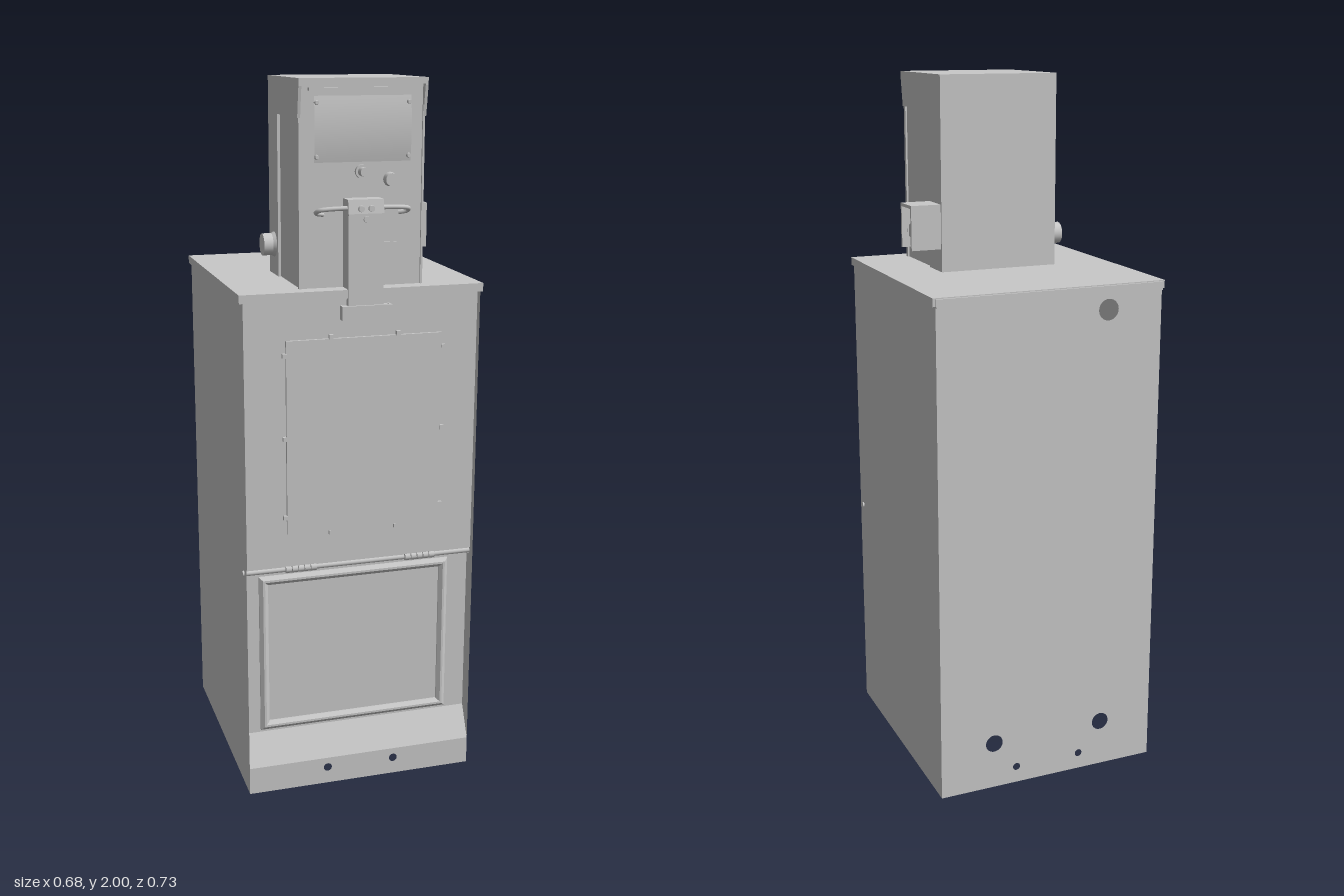
import * as THREE from 'three';

export function createModel() {
  const model = new THREE.Group();
  const GREY = 0xc8c8c8;
  const grey = new THREE.MeshStandardMaterial({ color: GREY });
  grey.name = 'grey metal';
  const sheet = new THREE.MeshStandardMaterial({ color: GREY, side: THREE.DoubleSide });
  sheet.name = 'grey sheet metal';

  const add = (name, geo, mat = grey) => {
    const mesh = new THREE.Mesh(geo, mat);
    mesh.name = name;
    model.add(mesh);
    return mesh;
  };
  // Box given by its lower and upper limits on each axis
  const box = (name, x0, x1, y0, y1, z0, z1) =>
    add(name, new THREE.BoxGeometry(x1 - x0, y1 - y0, z1 - z0)
      .translate((x0 + x1) / 2, (y0 + y1) / 2, (z0 + z1) / 2));
  // Disc or knob pointing along z
  const knob = (name, x, y, z0, z1, r0, r1 = r0, seg = 20) =>
    add(name, new THREE.CylinderGeometry(r1, r0, z1 - z0, seg)
      .rotateX(Math.PI / 2).translate(x, y, (z0 + z1) / 2));
  const rect = (P, x0, x1, y0, y1) =>
    new P([[x0, y0], [x1, y0], [x1, y1], [x0, y1]].map(p => new THREE.Vector2(...p)));
  // Rectangle with round holes [x, y, radius]
  const holedShape = (x0, x1, y0, y1, holes) => {
    const s = rect(THREE.Shape, x0, x1, y0, y1);
    for (const [x, y, r] of holes) s.holes.push(new THREE.Path().absarc(x, y, r, 0, Math.PI * 2, true));
    return s;
  };
  // Side outline of [z, y] points, extruded across x0..x1
  const sideways = (name, pts, x0, x1) =>
    add(name, new THREE.ExtrudeGeometry(new THREE.Shape(pts.map(p => new THREE.Vector2(...p))),
      { depth: x1 - x0, bevelEnabled: false }).rotateY(-Math.PI / 2).translate(x1, 0, 0));

  const W = 0.333, FRONT = 0.346, BACK = -0.36, TOP = 1.435, PANEL = 0.302;

  // Cabinet of sheet metal, open underneath
  for (const s of [-1, 1])
    add('cabinetSide', new THREE.PlaneGeometry(FRONT - BACK, TOP)
      .rotateY(s * Math.PI / 2).translate(s * W, TOP / 2, (FRONT + BACK) / 2), sheet);
  add('cabinetBack', new THREE.ShapeGeometry(holedShape(-W, W, 0, TOP, [
    [-0.17, 1.385, 0.03], [0.17, 1.385, 0.03],
    [-0.17, 0.14, 0.026], [0.17, 0.14, 0.026],
    [-0.1, 0.05, 0.011], [0.1, 0.05, 0.011],
  ]), 16).translate(0, 0, BACK), sheet);
  box('lid', -0.341, 0.341, 1.432, 1.455, BACK, FRONT);
  box('lidBackRim', -W, W, 1.428, 1.452, -0.366, BACK);

  // Kick plate, its slope and the lower panel
  add('kickPlate', new THREE.ShapeGeometry(holedShape(-W, W, 0, 0.08, [
    [-0.1, 0.05, 0.012], [0.1, 0.05, 0.012],
  ]), 16).translate(0, 0, FRONT), sheet);
  const run = FRONT - PANEL, rise = 0.09;
  add('kickSlope', new THREE.PlaneGeometry(2 * W, Math.hypot(run, rise))
    .rotateX(-Math.atan2(run, rise)).translate(0, 0.08 + rise / 2, (FRONT + PANEL) / 2), sheet);
  add('lowerPanel', new THREE.PlaneGeometry(2 * W, 0.515).translate(0, 0.4275, PANEL), sheet);

  // Mitred, bevelled frame on the lower panel
  const frame = rect(THREE.Shape, -0.28, 0.26, 0.19, 0.641);
  frame.holes.push(rect(THREE.Path, -0.274, 0.254, 0.196, 0.635));
  add('cardFrame', new THREE.ExtrudeGeometry(frame, {
    depth: 0.004, bevelEnabled: true, bevelThickness: 0.008, bevelSize: 0.01, bevelSegments: 1,
  }).translate(0, 0, PANEL + 0.004));

  // Upper door with its window plate and clips
  box('door', -0.329, 0.329, 0.685, 1.432, 0.316, 0.336);
  const wx0 = -0.215, wx1 = 0.225, wy0 = 0.782, wy1 = 1.325;
  const clip = (x, y) => box('windowClip', x - 0.006, x + 0.006, y - 0.006, y + 0.006, 0.336, 0.3455);
  box('windowPlate', wx0, wx1, wy0, wy1, 0.336, 0.344);
  for (const y of [0.83, 1.055, 1.285]) for (const x of [wx0 - 0.004, wx1 + 0.004]) clip(x, y);
  for (const x of [-0.09, 0.1]) for (const y of [wy0 - 0.005, wy1 + 0.005]) clip(x, y);

  // Hinge: rod with two groups of knuckles
  box('hingeRail', -W, W, 0.662, 0.685, PANEL, 0.32);
  add('hingeRod', new THREE.CylinderGeometry(0.008, 0.008, 0.676, 12).rotateZ(Math.PI / 2).translate(0, 0.67, 0.316));
  for (const c of [-0.172, 0.178])
    for (let i = -2; i <= 2; i++)
      add('hingeKnuckle', new THREE.CylinderGeometry(0.011, 0.011, 0.016, 12)
        .rotateZ(Math.PI / 2).translate(c + i * 0.018, 0.672, 0.322));

  // Coin head: inner body inside a hood of back, top and two cheeks
  const HX0 = -0.17, HX1 = 0.182;
  box('headBody', HX0 + 0.008, HX1 - 0.008, 1.455, 1.985, 0, 0.298);
  box('hoodBack', HX0, HX1, 1.455, 2, -0.01, 0.01);
  box('hoodTop', HX0, HX1, 1.984, 2, -0.01, 0.317);
  for (const x of [HX0, HX1 - 0.008])
    sideways('hoodCheek', [[-0.01, 1.455], [0.09, 1.455], [0.09, 1.9], [0.303, 1.9],
      [0.317, 1.98], [0.317, 2], [-0.01, 2]], x, x + 0.008);
  for (const x of [HX0 + 0.003, HX1 - 0.009]) box('headFrontEdge', x, x + 0.006, 1.455, 1.93, 0.29, 0.303);

  // Bowed instruction plate with rivets
  const plate = new THREE.PlaneGeometry(0.265, 0.17, 1, 10);
  const pos = plate.attributes.position;
  for (let i = 0; i < pos.count; i++) pos.setZ(i, 0.008 * (1 - (pos.getY(i) / 0.085) ** 2));
  plate.computeVertexNormals();
  add('instructionPlate', plate.translate(0.008, 1.87, 0.3), sheet);
  for (const x of [-0.118, 0.134])
    for (const y of [1.8, 1.938]) knob('plateRivet', x, y, 0.3, 0.309, 0.007, 0.005, 12);
  box('plateTopBead', -0.14, 0.155, 1.968, 1.976, 0.298, 0.308);

  // Coin slot, return button and small square cover
  knob('coinKnobBase', 0.005, 1.76, 0.298, 0.308, 0.018);
  knob('coinKnob', 0.005, 1.76, 0.308, 0.332, 0.012);
  knob('returnButton', 0.085, 1.738, 0.298, 0.318, 0.019, 0.017);
  box('squareCover', 0.06, 0.105, 1.53, 1.572, 0.298, 0.304);

  // Loop handle, tilted up towards the front
  const loop = new THREE.CatmullRomCurve3([
    [-0.1, 0.298], [-0.122, 0.308], [-0.118, 0.326], [-0.09, 0.334],
    [0.1, 0.334], [0.128, 0.326], [0.132, 0.308], [0.11, 0.298],
  ].map(([x, z]) => new THREE.Vector3(x, 1.65 + (z - 0.298) * 0.5, z)), false, 'centripetal');
  add('loopHandle', new THREE.TubeGeometry(loop, 48, 0.006, 8));

  // Door pull: strap with a sloped head, screws and a lower clip
  sideways('pullStrap', [[0.3, 1.456], [0.336, 1.456], [0.336, 1.38], [0.351, 1.38], [0.351, 1.655],
    [0.345, 1.692], [0.3, 1.692]], -0.045, 0.053);
  for (const [x, y] of [[-0.01, 1.668], [0.018, 1.668], [0.004, 1.64]]) knob('strapScrew', x, y, 0.34, 0.355, 0.01, 0.008, 12);
  box('clipFront', -0.064, 0.075, 1.375, 1.413, 0.354, 0.361);
  for (const x of [-0.064, 0.069]) box('clipSide', x, x + 0.006, 1.375, 1.413, 0.336, 0.356);
  box('clipWeb', -0.06, 0.071, 1.404, 1.412, 0.336, 0.356);

  // Lock guard on the left: top, back and a pierced front, open outwards
  box('guardTop', 0.18, 0.27, 1.637, 1.646, -0.005, 0.083);
  box('guardBack', 0.18, 0.27, 1.52, 1.64, -0.005, 0.003);
  add('guardFront', new THREE.ExtrudeGeometry(holedShape(0.18, 0.27, 1.52, 1.64, [[0.23, 1.567, 0.025]]),
    { depth: 0.008, bevelEnabled: false, curveSegments: 16 }).translate(0, 0, 0.075));
  // Oval lock hasp inside the guard
  add('lockHasp', new THREE.CylinderGeometry(0.021, 0.021, 0.02, 20).rotateZ(Math.PI / 2)
    .scale(1, 1.9, 1).rotateX(0.25).translate(0.192, 1.571, 0.042));
  add('lockRing', new THREE.TorusGeometry(0.015, 0.005, 8, 20).rotateY(Math.PI / 2)
    .scale(1, 1.3, 1).translate(0.205, 1.56, 0.044));

  // Round lock on the right
  add('lockCollar', new THREE.CylinderGeometry(0.036, 0.029, 0.012, 24)
    .rotateZ(-Math.PI / 2).translate(-0.175, 1.54, 0.043));
  add('lockBarrel', new THREE.CylinderGeometry(0.031, 0.031, 0.026, 24)
    .rotateZ(Math.PI / 2).translate(-0.192, 1.54, 0.043));

  return model;
}
